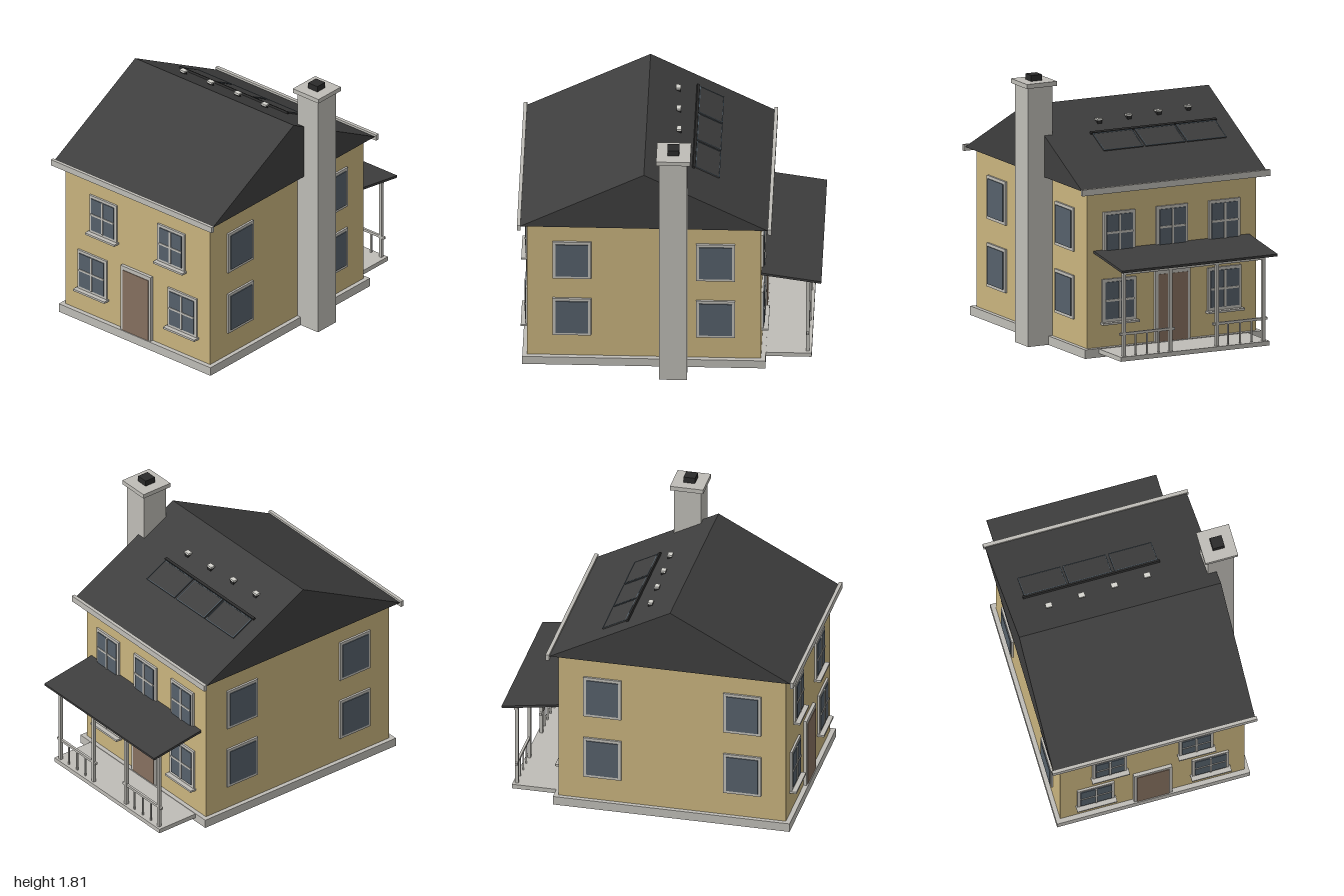
import * as THREE from 'three';

const mat = (name, color, extra = {}) => {
  const m = new THREE.MeshStandardMaterial({ color, ...extra });
  m.name = name;
  return m;
};

export function createModel() {
  const house = new THREE.Group();
  house.name = 'house';

  const wall = mat('ochre wall', 0xc9b47e);
  const trim = mat('pale trim', 0xbfbdb7);
  const roofMat = mat('dark roof', 0x3e3e3e);
  const glass = mat('window glass', 0x56616b);
  const doorMat = mat('brown door', 0x86705f);
  const black = mat('black metal', 0x2b2b2b);
  const panelEdge = mat('panel edge blue', 0x55646f);
  const ventMat = mat('light vent', 0xd6d5cf);

  // box given by its min and max on each axis
  const box = (parent, name, m, x0, x1, y0, y1, z0, z1) => {
    const mesh = new THREE.Mesh(new THREE.BoxGeometry(x1 - x0, y1 - y0, z1 - z0), m);
    mesh.position.set((x0 + x1) / 2, (y0 + y1) / 2, (z0 + z1) / 2);
    mesh.name = name;
    parent.add(mesh);
    return mesh;
  };

  const CX = -0.07, CZ = 0.165;
  const FRONT = 0.934, BACK = -0.604, LEFT = 0.56, RIGHT = -0.70;

  // body
  box(house, 'foundation', trim, -0.73, 0.59, 0, 0.06, -0.634, 0.966);
  box(house, 'walls', wall, RIGHT, LEFT, 0.06, 1.135, BACK, FRONT);

  // solid gable roof, profile drawn in (-z, y) and extruded along x
  const gable = new THREE.Shape([
    new THREE.Vector2(-0.98, 1.13), new THREE.Vector2(0.65, 1.13), new THREE.Vector2(-CZ, 1.56),
  ]);
  const roof = new THREE.Mesh(
    new THREE.ExtrudeGeometry(gable, { depth: 1.38, bevelEnabled: false }), roofMat);
  roof.rotation.y = Math.PI / 2;
  roof.position.x = -0.76;
  roof.name = 'roof';
  house.add(roof);
  box(house, 'frontGutter', trim, -0.77, 0.63, 1.103, 1.145, 0.977, 1.0);
  box(house, 'backGutter', trim, -0.77, 0.63, 1.103, 1.145, -0.674, -0.65);

  // chimney
  const chimney = new THREE.Group();
  chimney.name = 'chimney';
  house.add(chimney);
  box(chimney, 'chimneyStack', trim, 0.56, 0.74, 0, 1.74, -0.122, 0.06);
  box(chimney, 'chimneyCap', trim, 0.538, 0.762, 1.74, 1.77, -0.145, 0.08);
  box(chimney, 'chimneyPot', black, 0.61, 0.69, 1.77, 1.81, -0.07, 0.008);

  // windows and doors are built facing +z, then turned onto their wall
  const place = (name, x, z, turn) => {
    const g = new THREE.Group();
    g.name = name;
    g.position.set(x, 0, z);
    g.rotation.y = turn;
    house.add(g);
    return g;
  };
  const addWindow = (x, z, turn, cy, w, h, detailed) => {
    const g = place('window', x, z, turn);
    const b = 0.02, gw = w / 2 - b, gh = h / 2 - b;
    box(g, 'windowFrame', trim, -w / 2, w / 2, cy - h / 2, cy + h / 2, 0, 0.014);
    box(g, 'windowGlass', glass, -gw, gw, cy - gh, cy + gh, 0.014, 0.02);
    if (!detailed) return;
    box(g, 'verticalBar', trim, -0.007, 0.007, cy - gh, cy + gh, 0.014, 0.025);
    box(g, 'horizontalBar', trim, -gw, gw, cy - 0.007, cy + 0.007, 0.014, 0.024);
    box(g, 'windowSill', trim, -w / 2 - 0.01, w / 2 + 0.01, cy - h / 2 - 0.014, cy - h / 2, 0, 0.046);
  };
  const addDoor = (z, turn) => {
    const g = place('doorway', CX, z, turn);
    box(g, 'doorFrame', trim, -0.131, 0.131, 0.06, 0.54, 0, 0.022);
    box(g, 'door', doorMat, -0.11, 0.11, 0.06, 0.512, 0.022, 0.026);
  };

  const UP = 0.826, LOW = 0.371;
  for (const x of [-0.363, 0.228]) addWindow(x, FRONT, 0, UP, 0.235, 0.276, true);
  for (const x of [-0.458, 0.325]) addWindow(x, FRONT, 0, LOW, 0.252, 0.288, true);
  for (const x of [-0.46, CX, 0.325]) addWindow(x, BACK, Math.PI, UP, 0.235, 0.28, true);
  for (const x of [-0.46, 0.325]) addWindow(x, BACK, Math.PI, LOW, 0.252, 0.288, true);
  for (const z of [0.64, -0.305]) for (const y of [UP + 0.003, LOW + 0.003]) {
    addWindow(LEFT, z, Math.PI / 2, y, 0.255, 0.293, false);
    addWindow(RIGHT, z, -Math.PI / 2, y, 0.255, 0.293, false);
  }
  addDoor(FRONT, 0);
  addDoor(BACK, Math.PI);

  // back porch
  const porch = new THREE.Group();
  porch.name = 'porch';
  house.add(porch);
  box(porch, 'porchDeck', trim, -0.625, 0.485, 0.026, 0.056, -0.935, -0.63);
  box(porch, 'porchBeam', trim, -0.60, 0.46, 0.605, 0.64, -0.927, -0.9);
  const slope = new THREE.Shape([
    new THREE.Vector2(0.604, 0.695), new THREE.Vector2(0.998, 0.634),
    new THREE.Vector2(1.0, 0.65), new THREE.Vector2(0.604, 0.712),
  ]);
  const porchRoof = new THREE.Mesh(
    new THREE.ExtrudeGeometry(slope, { depth: 1.16, bevelEnabled: false }), roofMat);
  porchRoof.rotation.y = Math.PI / 2;
  porchRoof.position.x = -0.65;
  porchRoof.name = 'porchRoof';
  porch.add(porchRoof);

  const postX = [-0.59, -0.243, 0.103, 0.45];
  for (const x of postX) box(porch, 'porchPost', trim, x - 0.011, x + 0.011, 0.056, 0.615, -0.92, -0.898);
  for (const i of [0, 2]) {
    const a = postX[i], step = (postX[i + 1] - a) / 4;
    box(porch, 'railing', trim, a - 0.03, postX[i + 1] + 0.03, 0.197, 0.214, -0.917, -0.901);
    for (let k = 1; k < 4; k++) {
      const x = a + k * step;
      box(porch, 'baluster', trim, x - 0.005, x + 0.005, 0.056, 0.197, -0.914, -0.904);
    }
  }

  // fittings on the back slope: local +z is down the slope, +y is outward
  const pitch = Math.atan2(0.43, 0.815);
  const solar = new THREE.Group();
  solar.name = 'solarArray';
  solar.position.set(0, 1.56 - 0.074 * 0.43 / 0.815 * 1, CZ - 0.074);
  solar.rotation.set(-pitch, 0, 0);
  house.add(solar);
  const far = z => -(CZ - 0.074 - z) / Math.cos(pitch);
  const top = far(-0.16), bottom = far(-0.318);
  box(solar, 'panelRail', black, -0.645, 0.293, 0, 0.014, far(-0.157), far(-0.142));
  for (const x of [-0.486, -0.178, 0.135]) {
    const l = x - 0.147, r = x + 0.147;
    box(solar, 'solarPanel', roofMat, l, r, 0.002, 0.01, bottom, top);
    for (const z of [bottom, top - 0.005]) box(solar, 'panelEdge', panelEdge, l, r, 0.01, 0.012, z, z + 0.005);
    for (const e of [l, r - 0.005]) box(solar, 'panelEdge', panelEdge, e, e + 0.005, 0.01, 0.012, bottom, top);
  }

  // small roof vents
  for (let i = 0; i < 4; i++) {
    const x = -0.503 + i * 0.227, z = -0.026 - i * 0.01;
    const y = 1.56 - (CZ - z) * 0.43 / 0.815;
    box(house, 'ventBase', black, x - 0.016, x + 0.016, y - 0.02, y + 0.015, z - 0.014, z + 0.014);
    box(house, 'roofVent', ventMat, x - 0.022, x + 0.022, y + 0.015, y + 0.027, z - 0.016, z + 0.016);
  }

  return house;
}
